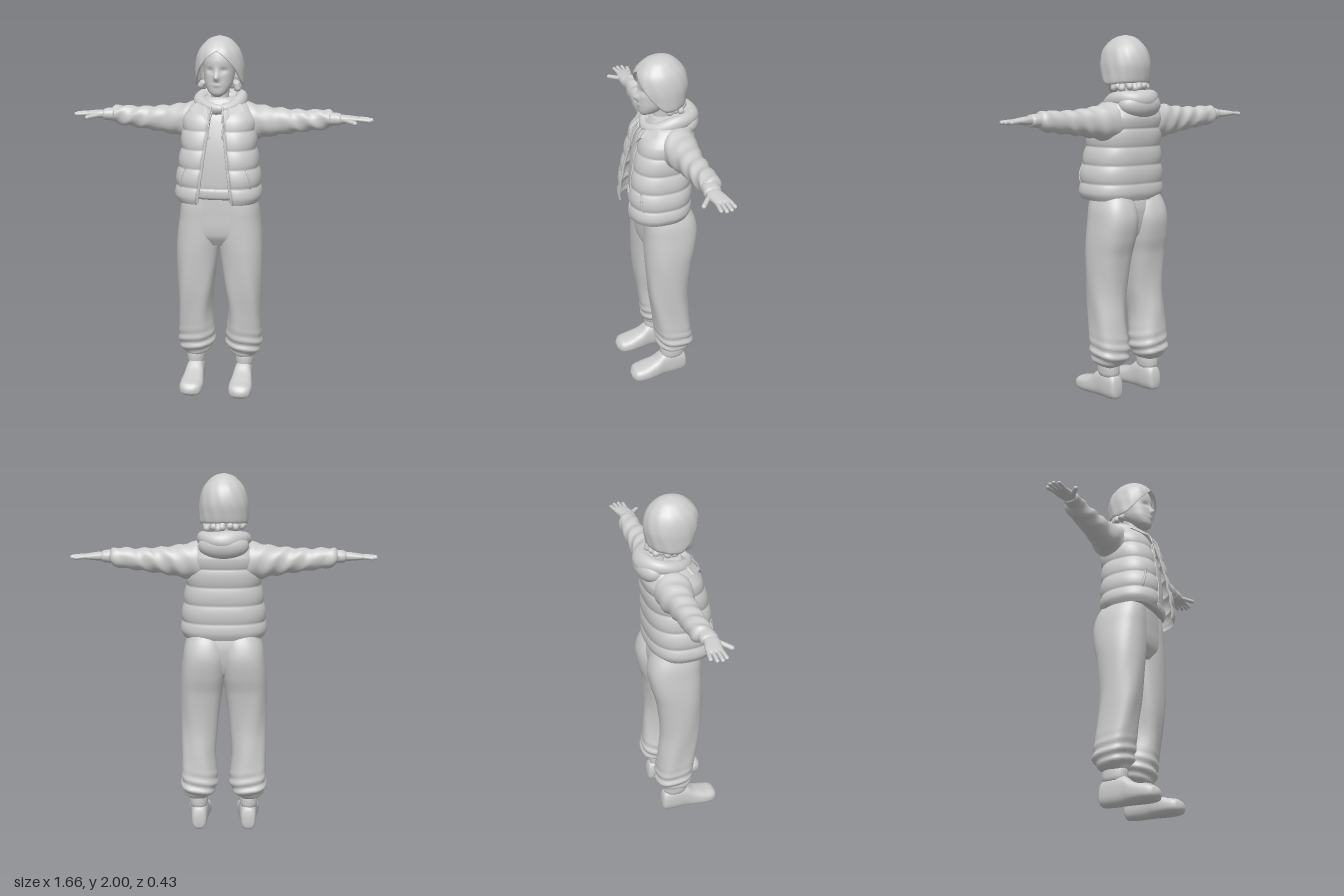
import * as THREE from 'three';

const { sin, cos, abs, sign, pow, exp, min, max, PI, asin } = Math;
const V = (x, y, z) => new THREE.Vector3(x, y, z);
const bell = (d, w) => exp(-((d / w) ** 2));

// Smooth interpolation of rows [key, ...values]
function track(rows, key) {
  let i = 0;
  while (i < rows.length - 2 && key > rows[i + 1][0]) i++;
  const p = rows[i], q = rows[i + 1], h = q[0] - p[0], t = (key - p[0]) / h;
  const before = rows[max(0, i - 1)], after = rows[min(rows.length - 1, i + 2)];
  return p.slice(1).map((a, j) => {
    const b = q[j + 1];
    const m0 = (b - before[j + 1]) / (q[0] - before[0]) * h;
    const m1 = (after[j + 1] - a) / (after[0] - p[0]) * h;
    return (2 * t ** 3 - 3 * t * t + 1) * a + (t ** 3 - 2 * t * t + t) * m0
      + (3 * t * t - 2 * t ** 3) * b + (t ** 3 - t * t) * m1;
  });
}

// Smooth skin over f(u, v), closed around u, with optional end caps, always facing outwards
function skin(f, nu, nv, caps = true) {
  const pts = [], idx = [];
  for (let j = 0; j <= nv; j++) for (let i = 0; i < nu; i++) pts.push(f(i / nu, j / nv));
  for (let j = 0; j < nv; j++) for (let i = 0; i < nu; i++) {
    const a = j * nu + i, b = j * nu + (i + 1) % nu;
    idx.push(a, b, a + nu, b, b + nu, a + nu);
  }
  if (caps) for (const [start, flip] of [[0, true], [nv * nu, false]]) {
    const c = V(0, 0, 0);
    for (let i = 0; i < nu; i++) c.addScaledVector(pts[start + i], 1 / nu);
    pts.push(c);
    for (let i = 0; i < nu; i++) {
      const a = start + i, b = start + (i + 1) % nu;
      idx.push(...(flip ? [b, a] : [a, b]), pts.length - 1);
    }
  }
  const mid = new THREE.Box3().setFromPoints(pts).getCenter(V(0, 0, 0));
  let volume = 0;
  for (let k = 0; k < idx.length; k += 3) {
    const [a, b, c] = [0, 1, 2].map(n => pts[idx[k + n]].clone().sub(mid));
    volume += a.dot(b.cross(c));
  }
  if (volume < 0) idx.reverse();
  const g = new THREE.BufferGeometry().setFromPoints(pts);
  g.setIndex(idx);
  g.computeVertexNormals();
  return g;
}

// Point on a rounded cross-section [a0, a1, b0, b1]
function around([a0, a1, b0, b1], phi, n) {
  const s = sin(phi), c = cos(phi);
  return [(a0 + a1) / 2 + (a1 - a0) / 2 * sign(s) * pow(abs(s), 2 / n),
    (b0 + b1) / 2 + (b1 - b0) / 2 * sign(c) * pow(abs(c), 2 / n)];
}

// Loft through cross-sections stacked along an axis
function loft(axis, rows, { n = 2.2, nu = 40, nv = 40, bend } = {}) {
  const k0 = rows[0][0], k1 = rows[rows.length - 1][0];
  return skin((u, v) => {
    const k = k0 + (k1 - k0) * v;
    const [a, b] = around(track(rows, k), u * 2 * PI, n);
    const p = axis === 'y' ? V(a, k, b) : axis === 'x' ? V(k, a, b) : V(a, b, k);
    if (bend) bend(p, u * 2 * PI);
    return p;
  }, nu, nv);
}

function mirrored(g) {
  const m = g.clone().scale(-1, 1, 1);
  if (m.index) m.setIndex(Array.from(m.index.array).reverse());
  else {
    const p = m.attributes.position;
    for (let i = 0; i < p.count; i += 3) {
      const a = V().fromBufferAttribute(p, i), c = V().fromBufferAttribute(p, i + 2);
      p.setXYZ(i, c.x, c.y, c.z);
      p.setXYZ(i + 2, a.x, a.y, a.z);
    }
  }
  m.computeVertexNormals();
  return m;
}

function capsule(a, b, r) {
  const d = b.clone().sub(a), m = new THREE.CapsuleGeometry(r, d.length() - 2 * r, 5, 12);
  m.applyQuaternion(new THREE.Quaternion().setFromUnitVectors(V(0, 1, 0), d.normalize()));
  const c = a.clone().add(b).multiplyScalar(0.5);
  return m.translate(c.x, c.y, c.z);
}
const tube = (pts, r) => new THREE.TubeGeometry(new THREE.CatmullRomCurve3(pts), 16, r, 6);

// Puffer vest surface
const vestRows = [[1.11, -.215, .215, -.145, .195], [1.15, -.226, .226, -.155, .2], [1.25, -.22, .22, -.158, .195],
  [1.4, -.2, .2, -.16, .172], [1.5, -.195, .195, -.168, .148], [1.58, -.185, .185, -.172, .118],
  [1.63, -.155, .155, -.16, .07], [1.66, -.1, .1, -.13, .03]];
const vestN = 2.5;
function vestPoint(phi, y, scale = 1) {
  const puff = 0.011 * pow(abs(sin(PI * (y - 1.1) / 0.1)), 0.6) * min(1, max(0, (1.62 - y) / 0.06));
  const [x, z] = around(track(vestRows, y), phi, vestN);
  const front = z > 0 ? 1 - 0.14 * bell(x, 0.08) : 1;
  const k = scale + puff / 0.19;
  return V(x * k, y, z * k * front);
}
const vestAngle = (x, y) => asin(pow(min(1, x / track(vestRows, y)[1]), vestN / 2));

export function createModel() {
  const group = new THREE.Group();
  const grey = new THREE.MeshStandardMaterial({ color: 0xcccccc, side: THREE.DoubleSide });
  grey.name = 'plain grey';
  const add = (name, g) => {
    const m = new THREE.Mesh(g, grey);
    m.name = name;
    group.add(m);
  };
  const pair = (name, g) => { add(name + 'Left', g); add(name + 'Right', mirrored(g)); };

  // Head with nose, eye sockets and lips
  add('head', loft('y', [[1.682, -.018, .018, .05, .09], [1.7, -.045, .045, 0, .104], [1.74, -.07, .07, -.06, .107],
    [1.78, -.08, .08, -.1, .106], [1.83, -.086, .086, -.12, .104], [1.88, -.088, .088, -.12, .102],
    [1.94, -.07, .07, -.09, .075], [1.97, -.03, .03, -.05, .03]], {
    nu: 72, nv: 64, bend: p => {
      if (p.z < 0.03) return;
      p.z += 0.024 * bell(p.x, .013) * bell(p.y - 1.783, .018) + 0.008 * bell(p.x, .012) * bell(p.y - 1.81, .025)
        - 0.011 * bell(abs(p.x) - .036, .02) * bell(p.y - 1.822, .015)
        + 0.006 * bell(p.x, .02) * bell(p.y - 1.745, .01);
    } }));
  add('neck', loft('y', [[1.58, -.06, .06, -.09, .04], [1.65, -.05, .05, -.075, .03], [1.74, -.05, .05, -.075, .03]]));

  // Bobbed hair, parted in front and cut away around the face
  const hairRows = [[1.7, -.118, .118, -.12, .1], [1.74, -.13, .13, -.14, .11], [1.78, -.132, .132, -.15, .12],
    [1.85, -.13, .13, -.157, .13], [1.92, -.111, .111, -.138, .118], [1.97, -.072, .072, -.095, .072],
    [1.99, -.04, .04, -.06, .03], [2, 0, 0, -.015, -.015]];
  const hem = [[0, 1.925], [.3, 1.9], [.7, 1.845], [1.1, 1.775], [1.5, 1.735], [2.2, 1.74], [PI, 1.745]];
  add('hair', skin((u, w) => {
    const phi = u * 2 * PI, a = min(phi, 2 * PI - phi);
    const v = w < .8 ? w / .8 : 1 - (w - .8) * 1.5;
    const y = 2 - (2 - track(hem, a)[0]) * v * v;
    const [x, z] = around(track(hairRows, y), phi, 2.1);
    const k = (w <= .8 ? 1 : .91) * (1 - .05 * bell(a, .14) * v + .01 * v * sin(phi * 13 + y * 30));
    return V(x * k, y, z * k);
  }, 96, 50, false));
  // Flicked-out ends along the nape
  for (let i = -5; i <= 5; i++) {
    const a = PI + i * 0.31, s = sin(a), c = cos(a);
    add('hairTip', capsule(V(.085 * s, 1.755, -.03 + .085 * c), V(.108 * s + .012 * cos(i * 2), 1.705 + .008 * (i % 2), -.03 + .115 * c), .019));
  }

  // Hoodie body, hem band and lowered hood
  add('hoodieBody', loft('y', [[1.13, -.19, .19, -.13, .125], [1.2, -.195, .195, -.142, .145], [1.4, -.18, .18, -.145, .135],
    [1.55, -.17, .17, -.15, .098], [1.62, -.135, .135, -.14, .06], [1.67, -.08, .08, -.1, .03]], { n: 2.4 }));
  add('hoodieHem', loft('y', [[1.13, -.185, .185, -.13, .142], [1.14, -.195, .195, -.138, .152], [1.18, -.195, .195, -.138, .154],
    [1.19, -.185, .185, -.13, .146]], { n: 2.4, nu: 120, nv: 10, bend: (p, a) => { p.z *= 1 + .012 * sin(a * 40); } }));
  add('hoodCollar', skin((u, v) => {
    const t = v * 2 * PI, s = u * 2 * PI, front = (1 + cos(t)) / 2;
    const r = .03 + .02 * (1 - front) + .003 * sin(3 * t + 2 * s), out = 1 + .9 * r * cos(s) / .115;
    return V(.112 * sin(t) * out, 1.655 - .045 * front ** 3 + r * sin(s), -.05 + .12 * cos(t) * out);
  }, 24, 72, false));
  add('hoodBag', new THREE.SphereGeometry(1, 40, 28).scale(.135, .08, .085).translate(0, 1.625, -.13));
  pair('drawstring', tube([V(.03, 1.63, .09), V(.037, 1.59, .122), V(.04, 1.53, .138), V(.036, 1.46, .15)], .005));

  // Open quilted vest with collar flaps, zip edges and pocket welts
  const edge = y => .03 + .06 * (1.6 - y) / .48;
  add('vest', skin((u, v) => {
    const y = 1.11 + .55 * v, a = vestAngle(max(.02, edge(y)), y);
    const w = u < .5 ? u * 2 : 2 - u * 2, inner = u > .5 ? .07 * min(1, v * 15, (1 - v) * 15) : 0;
    return vestPoint(a + (2 * PI - 2 * a) * w, y, 1 - inner);
  }, 160, 100, false));
  const along = (x0, y0, x1, y1, lift) => Array.from({ length: 12 }, (_, i) => {
    const y = y0 + (y1 - y0) * i / 11, x = x0 + (x1 - x0) * i / 11;
    return vestPoint(vestAngle(x, y), y, lift);
  });
  pair('zipEdge', tube(along(edge(1.12), 1.12, edge(1.6), 1.6, .99), .007));
  pair('pocketWelt', tube(along(.185, 1.2, .155, 1.32, 1.01), .006));
  const flap = new THREE.ExtrudeGeometry(new THREE.Shape([[.035, 1.53], [.075, 1.585], [.15, 1.61], [.12, 1.64], [.06, 1.635], [.03, 1.6]]
    .map(p => new THREE.Vector2(...p))), { depth: .01, bevelEnabled: false });
  const fp = flap.attributes.position;
  for (let i = 0; i < fp.count; i++) {
    const x = fp.getX(i), y = fp.getY(i);
    fp.setZ(i, fp.getZ(i) + vestPoint(vestAngle(x, y), y).z + .008);
  }
  flap.computeVertexNormals();
  pair('collarFlap', flap);

  // Sleeves, cuffs and hands
  pair('sleeve', loft('x', [[.12, 1.43, 1.645, -.15, .05], [.2, 1.44, 1.628, -.152, .038], [.3, 1.46, 1.612, -.132, .014],
    [.45, 1.483, 1.602, -.122, 0], [.57, 1.5, 1.606, -.118, -.008], [.6, 1.512, 1.602, -.11, -.01], [.615, 1.53, 1.585, -.09, -.02]], {
    nv: 60, bend: (p, a) => { p.y += .004 * sin(p.x * 70 + a * 2); p.z += .003 * sin(p.x * 55 + a * 3); } }));
  pair('sleeveCuff', loft('x', [[.595, 1.52, 1.592, -.095, -.006], [.62, 1.522, 1.592, -.094, -.004], [.65, 1.525, 1.588, -.09, -.002],
    [.66, 1.533, 1.58, -.08, -.012]], { nv: 12 }));
  pair('palm', loft('x', [[.64, 1.535, 1.582, -.078, -.01], [.68, 1.535, 1.58, -.088, -.005], [.72, 1.54, 1.575, -.098, -.012],
    [.75, 1.545, 1.57, -.099, -.018], [.762, 1.551, 1.564, -.09, -.028]], { n: 2.5, nv: 20 }));
  [[-.09, .806, -.1], [-.069, .826, -.074], [-.047, .83, -.047], [-.027, .818, -.022]].forEach(([z0, x, z1], i) =>
    pair('finger' + (i + 1), capsule(V(.735, 1.559, z0), V(x, 1.553, z1), .0105)));
  pair('thumb', capsule(V(.665, 1.557, -.025), V(.742, 1.545, .042), .0125));

  // Loose trousers gathered at the ankle
  add('trouserSeat', loft('y', [[.86, -.1, .1, -.06, .08], [.92, -.2, .2, -.12, .112], [1.05, -.21, .21, -.15, .117],
    [1.15, -.185, .185, -.135, .115]], { n: 2.5 }));
  pair('trouserLeg', loft('y', [[.185, .095, .19, -.1, .02], [.205, .068, .215, -.128, .036], [.24, .042, .235, -.152, .05],
    [.3, .035, .239, -.15, .06], [.45, .047, .235, -.135, .08], [.6, .032, .236, -.123, .1], [.8, .006, .24, -.143, .112],
    [.9, -.01, .237, -.168, .115], [1, -.015, .226, -.182, .115], [1.07, -.01, .215, -.17, .115], [1.14, 0, .19, -.14, .11]], {
    n: 2.4, nu: 56, nv: 90, bend: (p, a) => {
      const low = bell(p.y - .25, .07), f = .007 * low * sin(p.y * 110 + 2 * a) + .003 * sin(a * 5 + p.y * 9) * bell(p.y - .5, .35);
      p.x += f * sin(a);
      p.z += f * cos(a);
    } }));
  pair('ankleCuff', loft('y', [[.13, .098, .184, -.1, .022], [.145, .092, .19, -.108, .03], [.19, .092, .19, -.108, .03],
    [.21, .1, .182, -.1, .02]], { nv: 12, nu: 80, bend: (p, a) => { p.z += .0015 * sin(a * 26); } }));

  // Rounded slip-on shoes
  pair('shoe', loft('z', [[-.122, .115, .165, .025, .09], [-.112, .1, .178, .008, .13], [-.05, .09, .187, 0, .158],
    [.02, .087, .19, 0, .155], [.07, .08, .198, 0, .118], [.14, .073, .205, 0, .092], [.195, .085, .195, .006, .078],
    [.216, .12, .165, .025, .052]], { n: 2.6, nv: 60 }));
  return group;
}
